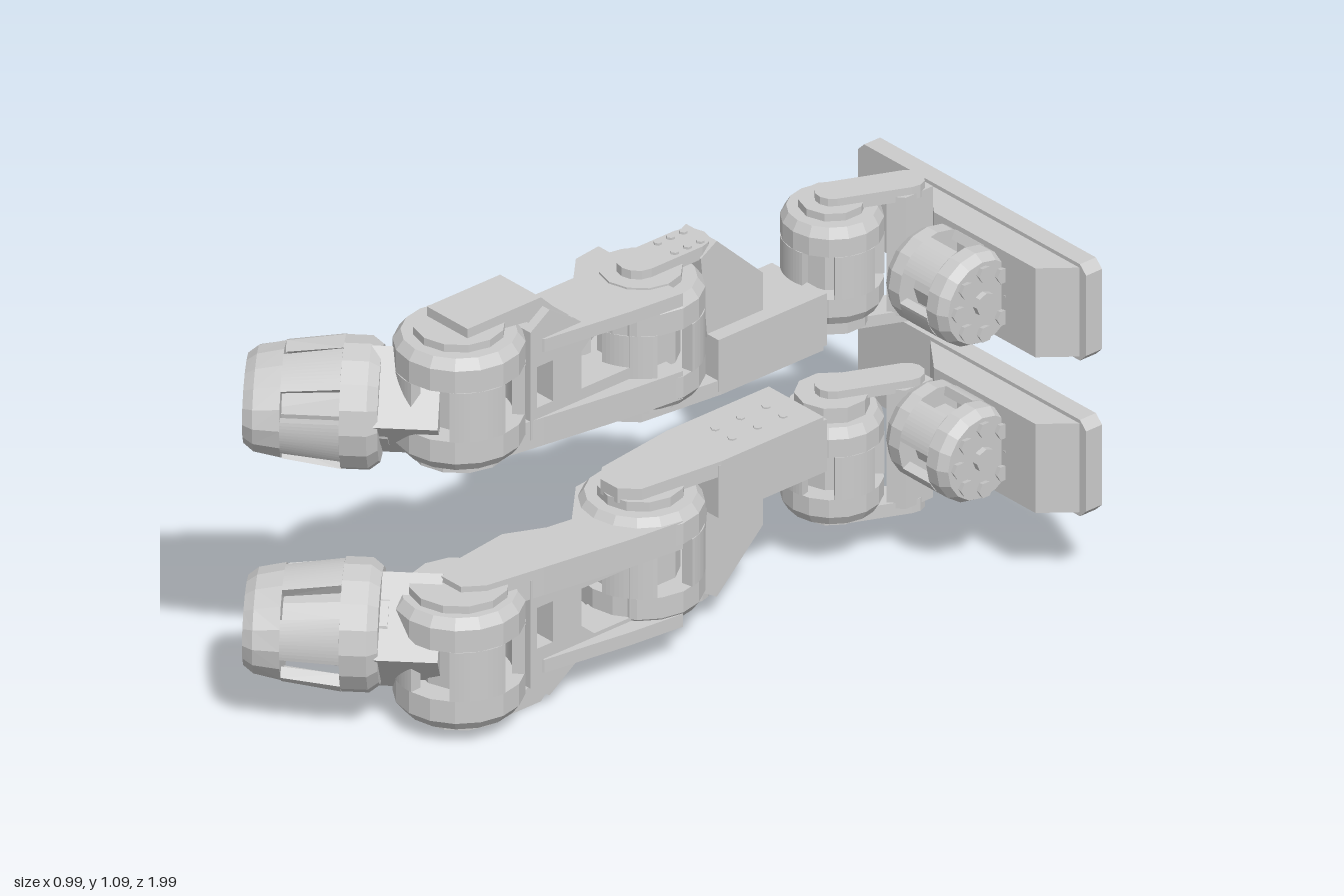
import * as THREE from 'three';
import { mergeGeometries } from 'three/addons/utils/BufferGeometryUtils.js';

const MAT = new THREE.MeshStandardMaterial({ color: 0xcccccc, flatShading: true, side: THREE.DoubleSide });
const HEIGHT = 1.1;

const merge = (list) => mergeGeometries(list.map((g) => (g.index ? g.toNonIndexed() : g)));
const box = (x0, x1, y0, y1, z0, z1) =>
  new THREE.BoxGeometry(x1 - x0, y1 - y0, z1 - z0).translate((x0 + x1) / 2, (y0 + y1) / 2, (z0 + z1) / 2);
const disc = (x, z, y0, y1, r, sides = 16, rTop = r) =>
  new THREE.CylinderGeometry(rTop, r, y1 - y0, sides).translate(x, (y0 + y1) / 2, z);

function polygon(points, holes = []) {
  const shape = new THREE.Shape(points.map((p) => new THREE.Vector2(...p)));
  holes.forEach((h) => shape.holes.push(new THREE.Path(h.map((p) => new THREE.Vector2(...p)))));
  return shape;
}
const extrude = (shape, depth) =>
  new THREE.ExtrudeGeometry(shape, { depth, bevelEnabled: false, curveSegments: 6 });
// outline of (x, z) points, raised from y0 to y1
const plan = (pts, y0, y1) =>
  extrude(polygon(pts.map(([x, z]) => [x, -z])), y1 - y0).rotateX(-Math.PI / 2).translate(0, y0, 0);
// outline of (z, y) points, swept from x0 to x1
const side = (pts, x0, x1, holes) =>
  extrude(polygon(pts, holes), x1 - x0).rotateY(-Math.PI / 2).translate(x1, 0, 0);

// flat bar with round ends between two (x, z) points
function strap([ax, az], [bx, bz], w, y0, y1) {
  const dir = Math.atan2(bz - az, bx - ax), pts = [];
  for (let i = 0; i <= 6; i++) {
    const a = dir + Math.PI / 2 + (i / 6) * Math.PI;
    pts.push([ax + w * Math.cos(a), az + w * Math.sin(a)]);
  }
  for (let i = 0; i <= 6; i++) {
    const a = dir - Math.PI / 2 + (i / 6) * Math.PI;
    pts.push([bx + w * Math.cos(a), bz + w * Math.sin(a)]);
  }
  return plan(pts, y0, y1);
}

// drum along y, centred: chamfered end caps, wall with windows, inner core
function motor(r, h, windows = 4, turn = 0.4) {
  const cap = h * 0.28, parts = [
    disc(0, 0, -h / 2, -h / 2 + 0.025, r * 0.88, 16, r),
    disc(0, 0, -h / 2 + 0.025, -h / 2 + cap, r),
    disc(0, 0, h / 2 - cap, h / 2 - 0.025, r),
    disc(0, 0, h / 2 - 0.025, h / 2, r, 16, r * 0.88),
    disc(0, 0, -h / 2, h / 2, r * 0.62, 10),
  ];
  for (let i = 0; i < windows; i++) {
    const a = turn + (i / windows) * Math.PI * 2, b = a + (Math.PI * 2 / windows) * 0.58;
    const s = new THREE.Shape();
    s.absarc(0, 0, r, a, b, false);
    s.absarc(0, 0, r * 0.8, b, a, true);
    parts.push(extrude(s, h - 2 * cap).rotateX(-Math.PI / 2).translate(0, -h / 2 + cap, 0));
  }
  return merge(parts);
}

function createArm(name, upper) {
  const arm = new THREE.Group();
  arm.name = name;
  // the upper arm is the lower one reflected in height
  const add = (label, ...geos) => {
    const g = merge(geos);
    if (upper) {
      g.scale(1, -1, 1).translate(0, HEIGHT, 0);
      const p = g.attributes.position, a = new THREE.Vector3(), b = new THREE.Vector3();
      for (let i = 0; i < p.count; i += 3) {
        a.fromBufferAttribute(p, i + 1);
        b.fromBufferAttribute(p, i + 2);
        p.setXYZ(i + 1, b.x, b.y, b.z);
        p.setXYZ(i + 2, a.x, a.y, a.z);
      }
    }
    g.computeVertexNormals();
    const mesh = new THREE.Mesh(g, MAT);
    mesh.name = label;
    arm.add(mesh);
  };
  const bolts = (spots, y0, y1) => spots.map(([x, z]) => disc(x, z, y0, y1, 0.011, 6));

  // mounting plate with its raised wedge
  const c = 0.022;
  add('mountingPlate', extrude(polygon([
    [-0.31 + c, 0.21], [0.5 - c, 0.21], [0.5, 0.21 + c], [0.5, 0.47 - c],
    [0.5 - c, 0.47], [-0.31 + c, 0.47], [-0.31, 0.47 - c], [-0.31, 0.21 + c]]), 0.05).translate(0, 0, -1));
  add('plateWedge', plan([[-0.06, -0.955], [0.05, -0.87], [0.41, -0.87], [0.48, -0.955]], 0.22, 0.46));

  // shoulder motor lying along x, with a knobbed end face
  add('shoulderMotor', motor(0.122, 0.22, 4, 0.2).rotateZ(Math.PI / 2).translate(0.18, 0.34, -0.81));
  const knobs = [];
  for (let i = 0; i < 8; i++) {
    const a = (i / 8) * Math.PI * 2;
    knobs.push(new THREE.CylinderGeometry(0.018, 0.022, 0.016, 6).rotateZ(Math.PI / 2)
      .translate(0.296, 0.34 + 0.08 * Math.sin(a), -0.81 + 0.08 * Math.cos(a)));
  }
  knobs.push(new THREE.CylinderGeometry(0.03, 0.03, 0.02, 8).rotateZ(Math.PI / 2).translate(0.295, 0.34, -0.81));
  add('shoulderKnobs', ...knobs);

  // forked bracket to the second joint
  const j1 = [-0.04, -0.63], s = [0.035, -0.8];
  add('shoulderFork',
    strap(j1, s, 0.042, 0.44, 0.47), strap(j1, s, 0.042, 0.11, 0.145),
    plan([[-0.01, -0.78], [0.03, -0.845], [0.075, -0.845], [0.075, -0.76], [0.04, -0.73]], 0.13, 0.45));
  add('upperJointMotor', motor(0.123, 0.26, 4, 0.9).translate(-0.04, 0.28, -0.63),
    disc(-0.04, -0.63, 0.41, 0.45, 0.09, 10), disc(-0.04, -0.63, 0.13, 0.16, 0.08, 10));

  // upper link: beam, top plate and sloped lower bracket
  add('upperLink',
    box(-0.14, 0.055, 0.31, 0.45, -0.53, -0.19),
    plan([[-0.14, -0.52], [0.055, -0.52], [0.055, -0.2], [0.03, 0.03], [-0.01, 0.07],
      [-0.07, 0.07], [-0.11, 0.03], [-0.14, -0.2]], 0.42, 0.46));
  add('elbowBracket',
    side([[-0.17, 0.1], [-0.22, 0.07], [-0.365, 0.21], [-0.365, 0.32], [-0.19, 0.32]], -0.095, 0.015),
    strap([-0.04, -0.02], [-0.04, -0.18], 0.05, 0.072, 0.105));
  const four = [];
  for (const x of [-0.07, -0.01]) for (const z of [-0.45, -0.37, -0.29]) four.push([x, z]);
  add('linkBolts', ...bolts(four, 0.455, 0.464),
    ...bolts([-0.07, -0.01].flatMap((x) => [[x, -0.19], [x, -0.15], [x, -0.11]]), 0.066, 0.075));

  // elbow motor
  add('elbowMotor', motor(0.152, 0.29, 4, 0.2).translate(-0.04, 0.26, -0.03),
    disc(-0.04, -0.03, 0.4, 0.43, 0.105, 12), disc(-0.04, -0.03, 0.095, 0.12, 0.1, 12));

  // forearm: curved top bar, lower rail and windowed web
  const outline = [[0.11, -0.03], [0.095, 0.12], [0.06, 0.36], [0.035, 0.52], [0, 0.57], [-0.07, 0.57],
    [-0.1, 0.52], [-0.125, 0.33], [-0.08, 0.23], [-0.07, 0.16], [-0.13, 0.1], [-0.18, 0.05], [-0.19, -0.03]];
  add('forearmBar', plan(outline, 0.31, 0.385));
  add('forearmWeb', side(
    [[0.05, 0.36], [0.4, 0.36], [0.4, 0.07], [0.34, 0.03], [0.24, 0.1], [0.05, 0.1]], -0.06, 0.055,
    [[[0.09, 0.28], [0.24, 0.28], [0.24, 0.18], [0.2, 0.145], [0.09, 0.145]],
      [[0.33, 0.28], [0.38, 0.28], [0.38, 0.17], [0.33, 0.17]]]));
  add('forearmRail', plan(outline.slice(0, 3).concat([[0.03, 0.38], [-0.12, 0.38]], outline.slice(7)), 0.1, 0.135));
  // lower fork cheek reaching over the wrist
  const end = upper ? 0.575 : 0.45;
  add('wristCheek', side(
    [[0.06, 0.1], [0.25, 0.1], [0.345, 0.005], [end, 0.005], [end, 0.03], [0.39, 0.055], [0.29, 0.135], [0.06, 0.135]],
    -0.115, 0.03));
  add('forearmBolts', ...bolts([[0.03, 0.26], [0.025, 0.31], [-0.03, 0.31]], 0.09, 0.103));

  // wrist motor
  add('wristMotor', motor(0.157, 0.3, 4, 0.7).translate(-0.04, 0.2, 0.54),
    disc(-0.04, 0.54, 0.34, 0.37, 0.12, 12), disc(-0.04, 0.54, 0.03, 0.06, 0.11, 12));

  // neck and tapered end drum, turned toward the outside
  const dir = new THREE.Vector3(-0.72, 0, 0.69).normalize();
  const turn = new THREE.Quaternion().setFromUnitVectors(new THREE.Vector3(0, 1, 0), dir);
  add('wristNeck', new THREE.BoxGeometry(0.2, 0.2, 0.22).applyQuaternion(turn).translate(-0.135, 0.24, 0.64));
  const drum = merge([motor(0.16, 0.32, 5, 0.3), disc(0, 0, -0.18, -0.15, 0.1, 10)]);
  const p = drum.attributes.position;
  for (let i = 0; i < p.count; i++) {
    const t = THREE.MathUtils.clamp((p.getY(i) + 0.02) / 0.18, 0, 1);
    p.setX(i, p.getX(i) * (1 - 0.08 * t));
    p.setZ(i, p.getZ(i) * (1 - 0.08 * t));
  }
  drum.applyQuaternion(turn);
  // flatten the drum's height toward its open end
  for (let i = 0; i < p.count; i++) {
    const t = THREE.MathUtils.clamp((p.getX(i) * dir.x + p.getZ(i) * dir.z + 0.02) / 0.18, 0, 1);
    p.setY(i, p.getY(i) * (1 - 0.22 * t));
  }
  add('endDrum', drum.translate(-0.28, 0.25, 0.782));
  return arm;
}

export function createModel() {
  const model = new THREE.Group();
  model.name = 'pairedRobotArms';
  model.add(createArm('lowerArm', false), createArm('upperArm', true));
  return model;
}
